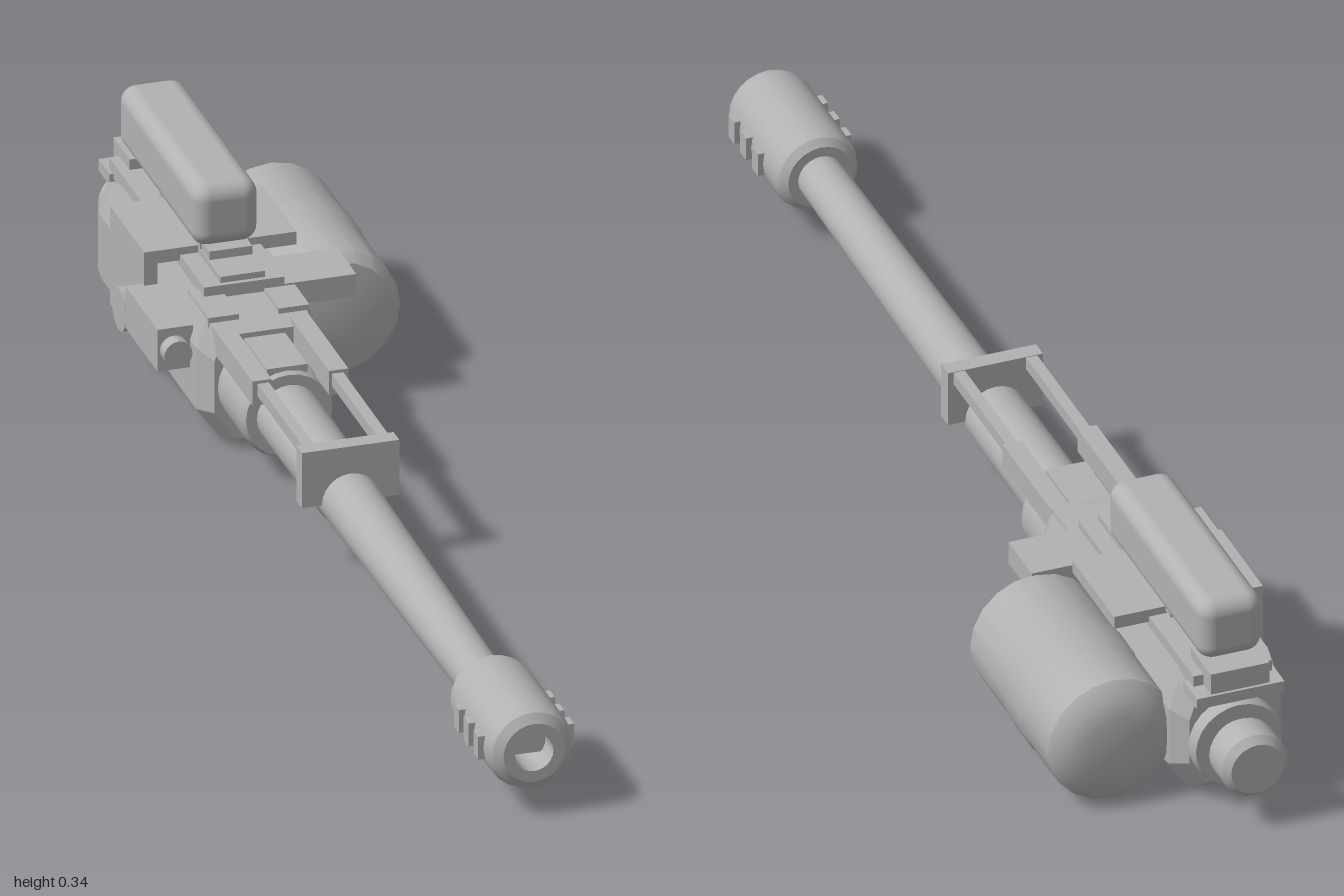
import * as THREE from 'three';
import { toCreasedNormals } from 'three/addons/utils/BufferGeometryUtils.js';
import { RoundedBoxGeometry } from 'three/addons/geometries/RoundedBoxGeometry.js';

const AX = -0.065; // barrel axis
const AY = 0.107;

export function createModel() {
  const model = new THREE.Group();
  model.name = 'heavyGun';
  const metal = new THREE.MeshStandardMaterial({ color: 0xb2b2b2 });
  metal.name = 'plainGrey';

  const add = (name, geometry) => {
    const mesh = new THREE.Mesh(geometry, metal);
    mesh.name = name;
    model.add(mesh);
    return mesh;
  };

  // Box given by its limits on each axis
  const box = (name, x0, x1, y0, y1, z0, z1) => {
    const g = new THREE.BoxGeometry(x1 - x0, y1 - y0, z1 - z0);
    return add(name, g.translate((x0 + x1) / 2, (y0 + y1) / 2, (z0 + z1) / 2));
  };

  // Turned part along z, profile as [radius, z] with z rising
  const turned = (name, x, y, profile, sides = 24, crease = 0.5) => {
    const g = new THREE.LatheGeometry(profile.map(([r, z]) => new THREE.Vector2(r, z)), sides);
    return add(name, toCreasedNormals(g.rotateX(Math.PI / 2).translate(x, y, 0), crease));
  };

  // Faceted hull through rings of [z, half width, bottom, top]
  const hull = (name, rings) => {
    const pos = [];
    const index = [];
    for (const [z, w, b, t] of rings) {
      const h = t - b;
      const ring = [[w, b + 0.27 * h], [w, t - 0.23 * h], [w * 0.84, t], [-w * 0.84, t],
        [-w, t - 0.23 * h], [-w, b + 0.27 * h], [-w * 0.58, b], [w * 0.58, b]];
      ring.forEach(([x, y]) => pos.push(AX + x, y, z));
    }
    for (let i = 0; i < rings.length - 1; i++) {
      for (let j = 0; j < 8; j++) {
        const a = i * 8 + j, c = i * 8 + (j + 1) % 8;
        index.push(a, c, c + 8, a, c + 8, a + 8);
      }
    }
    const last = (rings.length - 1) * 8;
    for (let j = 1; j < 7; j++) {
      index.push(0, j + 1, j, last, last + j, last + j + 1);
    }
    const g = new THREE.BufferGeometry();
    g.setAttribute('position', new THREE.Float32BufferAttribute(pos, 3));
    g.setIndex(index);
    return add(name, toCreasedNormals(g, 0.2));
  };

  // Barrel, sleeve and muzzle
  turned('barrel', AX, AY, [[0, -0.3], [0.046, -0.3], [0.045, 0.06], [0.042, 0.3], [0.036, 0.79], [0, 0.79]]);
  turned('barrelSleeve', AX, AY, [[0, -0.22], [0.05, -0.22], [0.048, 0.07], [0, 0.07]]);
  turned('barrelCollar', AX, AY, [[0, -0.4], [0.073, -0.4], [0.073, -0.225], [0.067, -0.212], [0, -0.212]]);
  turned('muzzle', AX, AY, [[0, 0.775], [0.052, 0.775], [0.063, 0.785], [0.067, 0.80], [0.067, 0.975],
    [0.062, 0.99], [0.048, 1], [0.03, 1], [0.03, 0.9], [0, 0.9]]);
  for (const z of [0.852, 0.9, 0.948]) {
    box('muzzleVent', AX - 0.075, AX + 0.075, 0.088, 0.126, z - 0.012, z + 0.012);
  }

  // Front bracket with a pair of stepped rails
  box('railBracket', AX - 0.076, AX + 0.076, 0.105, 0.196, 0.065, 0.093);
  for (const s of [-1, 1]) {
    const rail = (name, c, w, y0, y1, z0, z1) =>
      box(name, AX + s * c - w, AX + s * c + w, y0, y1, z0, z1);
    rail('thinRail', 0.058, 0.009, 0.175, 0.195, -0.2, 0.07);
    rail('thickRail', 0.06, 0.015, 0.16, 0.2, -0.4, -0.155);
    rail('railRoot', 0.055, 0.024, 0.165, 0.211, -0.46, -0.36);
  }
  box('feedRamp', AX - 0.032, AX + 0.032, 0.14, 0.184, -0.36, -0.22);

  // Receiver body and rear cap
  hull('receiver', [[-0.902, 0.07, 0.035, 0.185], [-0.87, 0.09, 0.01, 0.2], [-0.84, 0.095, 0.004, 0.208],
    [-0.37, 0.095, 0.004, 0.206], [-0.332, 0.078, 0.02, 0.192]]);
  turned('rearCap', AX, AY, [[0, -1], [0.042, -1], [0.053, -0.988], [0.053, -0.938], [0.044, -0.935],
    [0.044, -0.925], [0.069, -0.925], [0.072, -0.915], [0.072, -0.89], [0, -0.89]]);

  // Drum with a central band and shallow ends
  turned('drum', 0.105, 0.107, [[0, -0.872], [0.05, -0.87], [0.085, -0.862], [0.103, -0.842], [0.103, -0.735],
    [0.105, -0.732], [0.105, -0.668], [0.103, -0.665], [0.103, -0.525], [0.09, -0.508], [0.05, -0.502], [0, -0.5]],
  20, 0.7);

  // Feed tray on the drum side
  box('feedTray', -0.02, 0.11, 0.177, 0.214, -0.527, -0.432);

  // Top deck, cross plate and side hanger
  box('topDeck', -0.128, -0.002, 0.2, 0.226, -0.9, -0.432);
  box('deckRail', -0.1, -0.03, 0.22, 0.236, -0.62, -0.44);
  box('crossPlate', -0.184, 0.054, 0.217, 0.238, -0.72, -0.55);
  box('sideHanger', -0.184, -0.163, 0.085, 0.238, -0.72, -0.55);
  box('hangerFoot', -0.184, -0.15, 0.075, 0.087, -0.72, -0.55);
  const knob = new THREE.CylinderGeometry(0.034, 0.034, 0.04, 20).rotateZ(Math.PI / 2);
  add('sideKnob', toCreasedNormals(knob.translate(-0.177, 0.107, -0.635), 0.5));

  // Sight box on the left side
  box('sightBox', -0.211, -0.155, 0.114, 0.183, -0.557, -0.4);
  turned('sightLens', -0.185, 0.148, [[0, -0.41], [0.022, -0.41], [0.022, -0.378], [0, -0.378]], 20);

  // Housing on top with its supports
  const housing = new RoundedBoxGeometry(0.102, 0.102, 0.39, 4, 0.025);
  add('topHousing', housing.translate(-0.064, 0.296, -0.71));
  box('frontSupport', -0.098, -0.031, 0.222, 0.25, -0.55, -0.5);
  box('middleSupport', -0.1, -0.028, 0.23, 0.25, -0.74, -0.54);
  box('rearSupport', -0.112, -0.018, 0.198, 0.243, -0.93, -0.85);
  box('rearCrossbar', -0.134, 0.006, 0.19, 0.208, -0.935, -0.88);

  return model;
}
